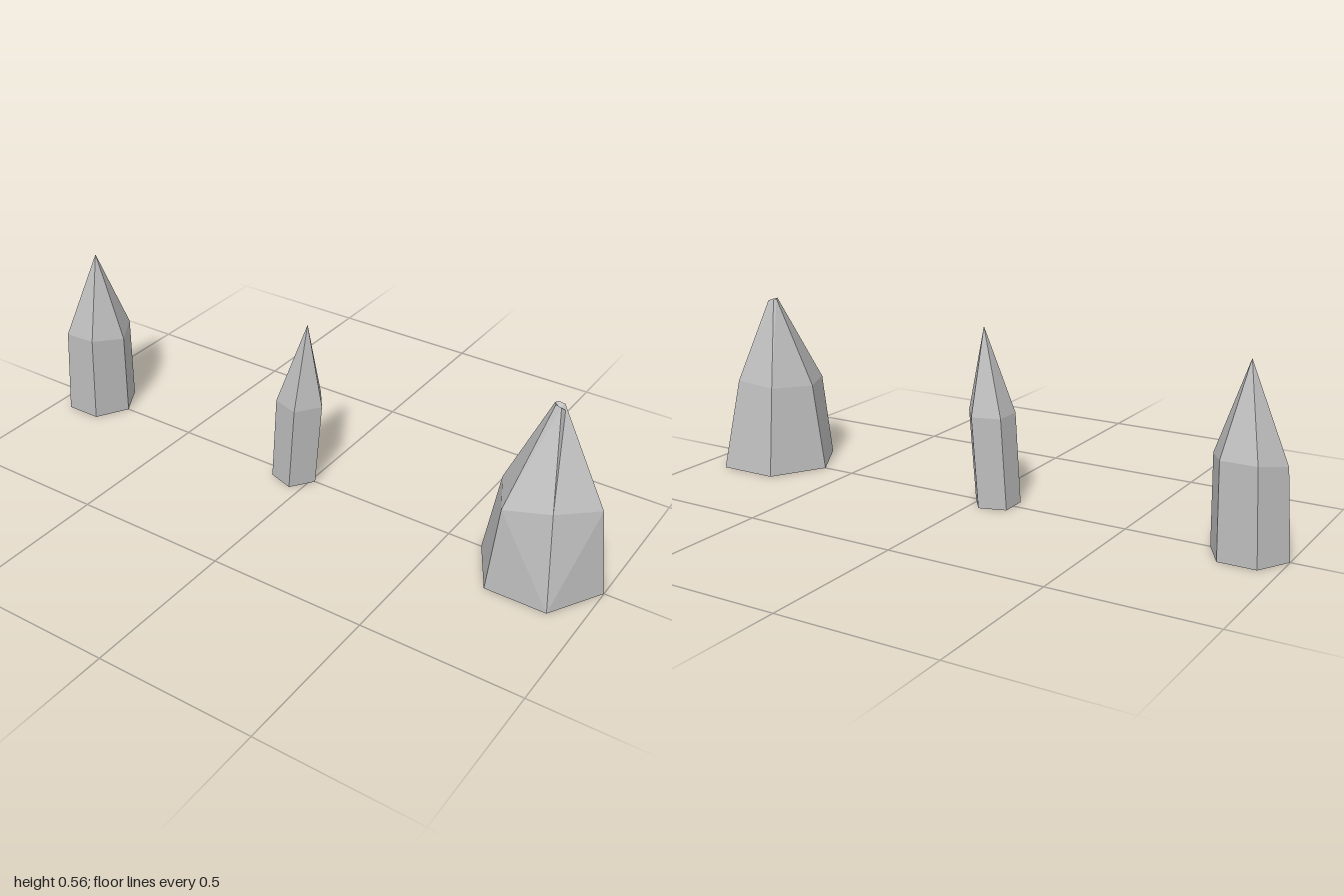
import * as THREE from 'three';

// Regular ring of n points around (cx, y, 0); dy holds small height offsets per corner
function ring(n, cx, y, r, dy = []) {
  return Array.from({ length: n }, (_, i) => {
    const a = (i / n) * Math.PI * 2;
    return [cx + r * Math.cos(a), y + (dy[i] ?? 0), r * Math.sin(a)];
  });
}

// Faceted crystal: open base, slanted shaft, then a point (one tip) or a chipped crown (tip ring)
function crystal(name, material, base, mid, tip, crownCentre) {
  const n = base.length;
  const pos = [];
  const tri = (a, b, c) => pos.push(...a, ...b, ...c);
  for (let i = 0; i < n; i++) {
    const j = (i + 1) % n;
    // shaft, with alternating diagonals
    if (i % 2 === 0) {
      tri(base[i], mid[i], base[j]);
      tri(mid[i], mid[j], base[j]);
    } else {
      tri(base[i], mid[i], mid[j]);
      tri(base[i], mid[j], base[j]);
    }
    // taper
    if (tip.length === 1) {
      tri(mid[i], tip[0], mid[j]);
    } else {
      tri(mid[i], tip[i], mid[j]);
      tri(tip[i], tip[j], mid[j]);
      tri(tip[i], crownCentre, tip[j]);
    }
  }
  const geo = new THREE.BufferGeometry();
  geo.setAttribute('position', new THREE.Float32BufferAttribute(pos, 3));
  geo.computeVertexNormals();
  const mesh = new THREE.Mesh(geo, material);
  mesh.name = name;
  return mesh;
}

export function createModel() {
  const group = new THREE.Group();
  group.name = 'crystals';
  const stone = new THREE.MeshStandardMaterial({ color: 0xbbbbbb });
  stone.name = 'grey stone';
  stone.side = THREE.DoubleSide;
  stone.flatShading = true;

  // Wide crystal with a chipped crown
  group.add(crystal('largeCrystal', stone,
    ring(6, 0.805, 0, 0.195),
    [[0.97, 0.283, 0.012], [0.87, 0.295, 0.122], [0.73, 0.272, 0.15],
      [0.662, 0.278, 0.01], [0.73, 0.285, -0.117], [0.87, 0.295, -0.117]],
    [[0.817, 0.54, -0.013], [0.812, 0.555, 0.006], [0.797, 0.562, 0.01],
      [0.788, 0.56, -0.005], [0.795, 0.562, -0.012], [0.812, 0.556, -0.018]],
    [0.803, 0.545, -0.004]));

  // Medium six-sided crystal
  group.add(crystal('mediumCrystal', stone,
    ring(6, -0.883, 0, 0.117),
    ring(6, -0.87, 0.285, 0.109, [-0.005, 0.008, 0.005, -0.012, 0.005, 0.005]),
    [[-0.86, 0.562, -0.005]]));

  // Thin five-sided crystal, leaning sideways
  group.add(crystal('smallCrystal', stone,
    ring(5, -0.06, 0, 0.075),
    ring(5, -0.037, 0.287, 0.077),
    [[-0.013, 0.556, 0]]));

  return group;
}
